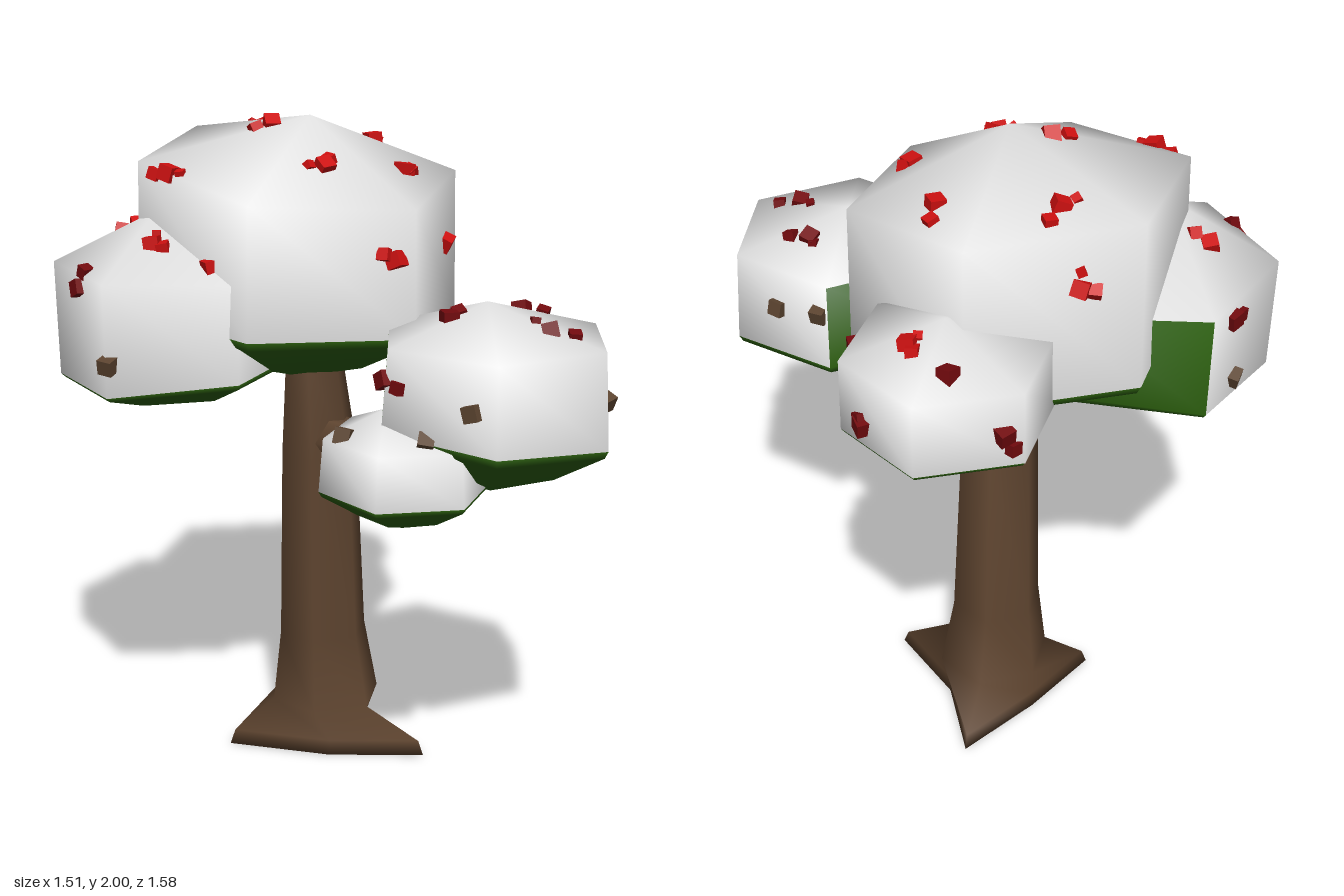
import * as THREE from 'three';

const paint = (name, color) => {
  const m = new THREE.MeshStandardMaterial({ color });
  m.name = name;
  return m;
};

// Skin a stack of six-sided rings, listed top to bottom; a ring of one point is a tip
function loft(...rings) {
  const pos = [], index = [], start = [];
  for (const ring of rings) {
    start.push(pos.length / 3);
    for (const p of ring) pos.push(...p);
  }
  for (let r = 0; r < rings.length - 1; r++) {
    for (let i = 0; i < 6; i++) {
      const at = (k, j) => start[k] + (j % rings[k].length);
      const a = at(r, i), b = at(r + 1, i), c = at(r + 1, (i + 1) % 6), d = at(r, (i + 1) % 6);
      if (b !== c) index.push(a, b, c);
      if (a !== d) index.push(a, c, d);
    }
  }
  const g = new THREE.BufferGeometry();
  g.setAttribute('position', new THREE.Float32BufferAttribute(pos, 3));
  g.setIndex(index);
  g.computeVertexNormals();
  return g;
}

// Six points around a centre, from a start angle in degrees
const ring = (x, y, z, r, turn) => Array.from({ length: 6 }, (_, k) => {
  const a = THREE.MathUtils.degToRad(turn - 60 * k);
  return [x + r * Math.cos(a), y, z + r * Math.sin(a)];
});

export function createModel() {
  const tree = new THREE.Group();
  tree.name = 'snowyTree';
  const snow = paint('snow', 0xe6e6e6), leaf = paint('leaf', 0x2c5f0e), bark = paint('bark', 0x5f4530);
  const red = paint('red', 0xcc1010), darkRed = paint('darkRed', 0x720a0e), dried = paint('driedBerry', 0x5c4430);
  const add = (name, geometry, material, parent = tree) => {
    const mesh = new THREE.Mesh(geometry, material);
    mesh.name = name;
    parent.add(mesh);
    return mesh;
  };

  // Trunk: six-sided rings flaring into three roots
  const footprint = [[-0.27, -0.09], [0.02, 0.06], [0.31, 0.13], [0.2, -0.14], [0.2, -0.41], [-0.05, -0.26]];
  const foot = (y, s) => footprint.map(([x, z]) => [0.05 + (x - 0.05) * s, y, -0.12 + (z + 0.12) * s]);
  const crest = ring(0, 1.27, -0.06, 0.09, 175);
  add('trunk', loft(crest, ring(0.02, 0.98, -0.075, 0.12, 175), ring(0.04, 0.37, -0.115, 0.14, 175),
    ring(0.05, 0.14, -0.115, 0.175, 175), foot(0.045, 0.95), foot(0, 1), [[0.05, 0, -0.12]]), bark);
  add('trunkTop', loft([[0, 1.275, -0.06]], crest), bark);

  // Limb reaching toward the front clumps
  const from = new THREE.Vector3(0, 1.02, -0.09), to = new THREE.Vector3(0.28, 1.055, 0.37);
  const along = to.clone().sub(from);
  const limb = add('limb', new THREE.CylinderGeometry(0.045, 0.085, along.length(), 6), bark);
  limb.position.copy(from).add(to).multiplyScalar(0.5);
  limb.quaternion.setFromUnitVectors(new THREE.Vector3(0, 1, 0), along.normalize());

  // Clump: snow above the skirt, green below it and on the bare walls facing the trunk.
  // tilt slopes the shoulder along x and z, slope the skirt along x
  function clump(name, { x, z, r, turn, top, shoulder, skirt, bottom, inset = 1, tilt = [0, 0], slope = 0, bare = [] }) {
    const group = new THREE.Group();
    group.name = name;
    tree.add(group);
    const upper = ring(x, shoulder, z, r * inset, turn).map(([a, b, c]) => [a, b + tilt[0] * (a - x) + tilt[1] * (c - z), c]);
    const lower = ring(x, skirt, z, r, turn).map(([a, b, c]) => [a, b + slope * (a - x), c]);
    const under = (s, t) => lower.map(([a, b, c]) => [x + (a - x) * s, b + (bottom - b) * t, z + (c - z) * s]);
    const g = loft([top], upper, lower, under(0.97, 0.12), under(0.55, 0.62), [[x, bottom, z]]);
    g.addGroup(0, 18, 0);
    for (let i = 0; i < 6; i++) g.addGroup(18 + 6 * i, 6, bare.includes(i) ? 1 : 0);
    g.addGroup(54, g.index.count - 54, 1);
    const foliage = add('foliage', g, [snow, leaf], group);
    return { group, foliage, centre: new THREE.Vector3(x, (shoulder + skirt) / 2, z) };
  }

  // Berries: clusters of small tumbled cubes, set onto the foliage nearest each spot
  const cube = new THREE.BoxGeometry(1, 1, 1);
  let count = 0;
  function berries(name, { group, foliage, centre }, material, perCluster, spots) {
    for (const spot of spots) {
      for (let k = 0; k < perCluster; k++) {
        const n = count++;
        const target = new THREE.Vector3(...spot);
        if (k) target.add(new THREE.Vector3(Math.sin(n * 2.3), Math.sin(n * 4.1) * 0.6, Math.cos(n * 2.3)).multiplyScalar(0.055));
        const inward = centre.clone().sub(target).normalize();
        const [hit] = new THREE.Raycaster(centre.clone().addScaledVector(inward, -2), inward).intersectObject(foliage);
        if (!hit) continue;
        const berry = add(name, cube, material, group);
        berry.position.copy(hit.point);
        berry.scale.setScalar(0.045 - 0.01 * k);
        berry.rotation.set(Math.sin(n * 2.3) * 0.4, n * 1.7, Math.cos(n * 3.1) * 0.4);
      }
    }
  }

  const crown = clump('crown', { x: -0.03, z: -0.12, r: 0.488, turn: 180, top: [-0.01, 2, -0.07],
    shoulder: 1.845, skirt: 1.41, bottom: 1.2, inset: 0.985, tilt: [-0.06, -0.14], slope: -0.03 });
  berries('crownBerry', crown, red, 3, [[-0.07, 1.93, -0.42], [-0.015, 1.88, 0.14], [-0.45, 1.86, 0], [-0.1, 1.75, -0.54]]);
  berries('crownBerry', crown, red, 2, [[-0.12, 1.98, -0.1], [0.25, 1.91, -0.29], [0.26, 1.86, 0.06], [0.155, 1.635, 0.3]]);
  berries('crownBerry', crown, red, 1, [[0.4, 1.62, 0]]);

  const right = clump('rightClump', { x: -0.385, z: -0.125, r: 0.378, turn: 195, top: [-0.47, 1.73, -0.1],
    shoulder: 1.57, skirt: 1.27, bottom: 1.14, inset: 1.02, slope: 0.12, bare: [3, 4] });
  berries('rightBerry', right, red, 3, [[-0.51, 1.69, 0.05]]);
  berries('rightBerry', right, red, 2, [[-0.57, 1.68, -0.24]]);
  berries('rightBerry', right, red, 1, [[-0.34, 1.65, 0.22]]);
  berries('rightDarkBerry', right, darkRed, 2, [[-0.73, 1.54, -0.01], [-0.56, 1.52, -0.41]]);
  berries('rightDriedBerry', right, dried, 1, [[-0.67, 1.33, 0.17], [-0.6, 1.3, -0.4]]);

  const back = clump('backClump', { x: 0.245, z: -0.51, r: 0.295, turn: 179, top: [0.25, 1.68, -0.5],
    shoulder: 1.595, skirt: 1.38, bottom: 1.28, inset: 0.99 });
  berries('backBerry', back, red, 3, [[0.37, 1.66, -0.55]]);
  berries('backDarkBerry', back, darkRed, 2, [[0.475, 1.54, -0.37], [0.5, 1.44, -0.6], [0.15, 1.48, -0.76]]);
  berries('backDarkBerry', back, darkRed, 1, [[0.28, 1.64, -0.7]]);

  const left = clump('leftFrontClump', { x: 0.405, z: 0.435, r: 0.36, turn: 166, top: [0.39, 1.53, 0.41],
    shoulder: 1.435, skirt: 1.175, bottom: 0.98, inset: 0.95, slope: -0.07, bare: [4, 5] });
  berries('leftDarkBerry', left, darkRed, 3, [[0.53, 1.5, 0.32], [0.53, 1.49, 0.58]]);
  berries('leftDarkBerry', left, darkRed, 2, [[0.265, 1.5, 0.44], [0.05, 1.35, 0.51]]);
  berries('leftDriedBerry', left, dried, 1, [[0.69, 1.27, 0.6], [0.26, 1.3, 0.71], [0.65, 1.31, 0.22], [0.52, 1.34, 0.13]]);

  const lower = clump('lowerClump', { x: 0.14, z: 0.47, r: 0.245, turn: 184, top: [0.09, 1.25, 0.45],
    shoulder: 1.175, skirt: 1.02, bottom: 0.9, inset: 0.95, bare: [4, 5] });
  berries('lowerDriedBerry', lower, dried, 1, [[-0.065, 1.2, 0.49], [0.16, 1.22, 0.66]]);
  return tree;
}
